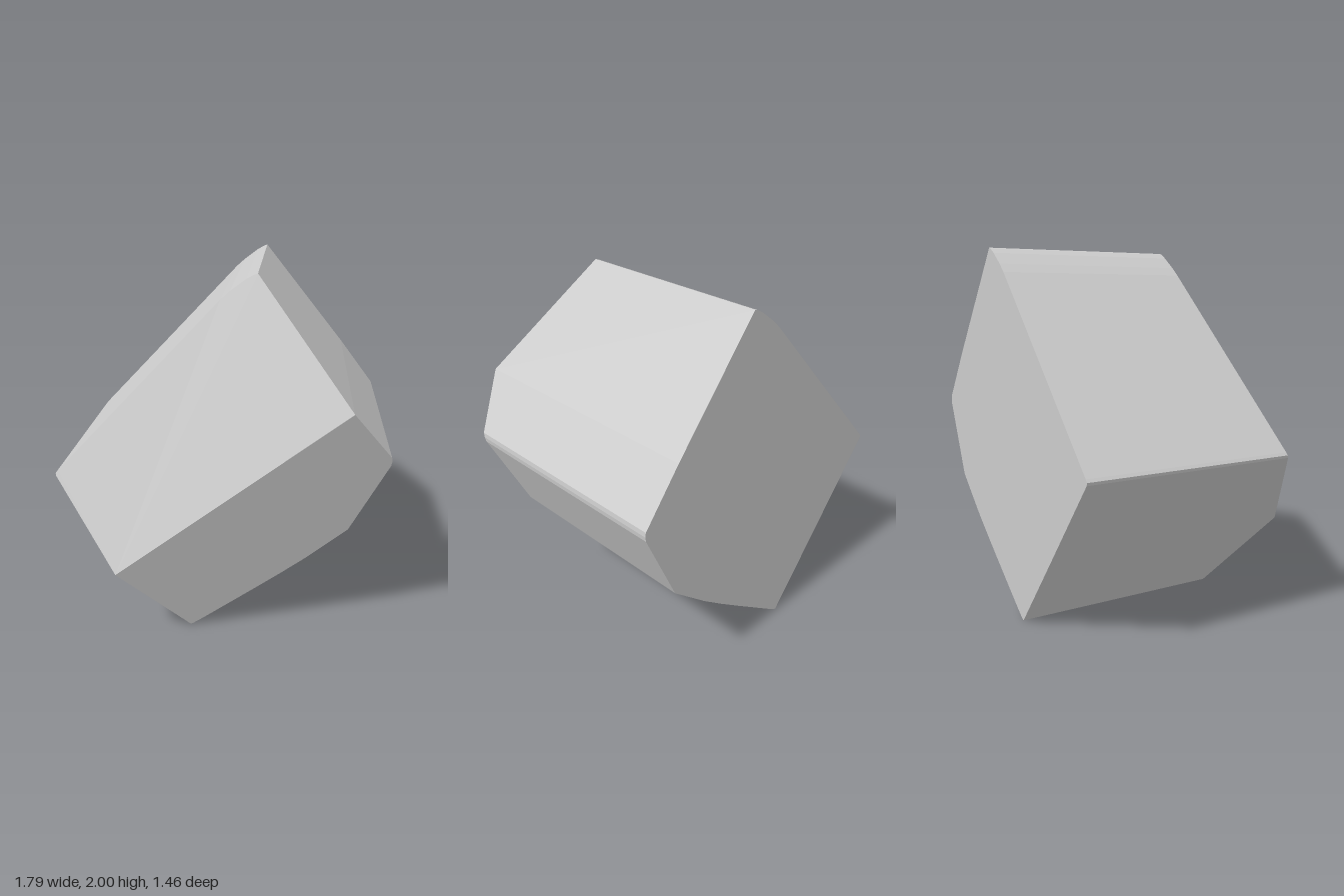
import * as THREE from 'three';

const BACK = -0.73, RIDGE_Z = 0.73;

// Outline seen from the front, counter-clockwise, starting at the left ridge end.
const outline = [
  [-0.53, 0.45], [-0.165, 0], [-0.15, 0.005], [-0.09, 0.045], [0.2, 0.253], [0.34, 0.355], [0.48, 0.462],
  [0.7, 0.65], [0.89, 1.07], [0.893, 1.095], [0.89, 1.12], [0.68, 1.395],
  [0.19, 2], [0.17, 1.993], [0.13, 1.97], [0.05, 1.91], [0, 1.865],
  [-0.885, 0.93], [-0.897, 0.915], [-0.893, 0.9],
];
const RIDGE_END = 11;

// The front slopes back on both sides of the ridge line.
function frontZ([x, y]) {
  const [ax, ay] = outline[0], [bx, by] = outline[RIDGE_END];
  const dx = bx - ax, dy = by - ay;
  const d = (dx * (y - ay) - dy * (x - ax)) / Math.hypot(dx, dy);
  return RIDGE_Z - (d > 0 ? 0.44 * d : -0.418 * d);
}

function createBlockGeometry() {
  const n = outline.length, positions = [], index = [];
  for (const p of outline) positions.push(p[0], p[1], frontZ(p));
  for (const p of outline) positions.push(p[0], p[1], BACK);

  // Side walls
  for (let i = 0; i < n; i++) {
    const j = (i + 1) % n;
    index.push(i, i + n, j + n, i, j + n, j);
  }
  // Two sloped front facets (sharing the ridge) and the flat back
  for (let i = 1; i < n - 1; i++) {
    index.push(0, i, i + 1);
    index.push(n, n + i + 1, n + i);
  }

  const geometry = new THREE.BufferGeometry();
  geometry.setAttribute('position', new THREE.Float32BufferAttribute(positions, 3));
  geometry.setIndex(index);
  const flat = geometry.toNonIndexed();
  flat.computeVertexNormals();
  return flat;
}

export function createModel() {
  const group = new THREE.Group();
  const material = new THREE.MeshStandardMaterial({ color: 0xcccccc, flatShading: true });
  const block = new THREE.Mesh(createBlockGeometry(), material);
  block.name = 'facetedBlock';
  group.add(block);
  return group;
}
